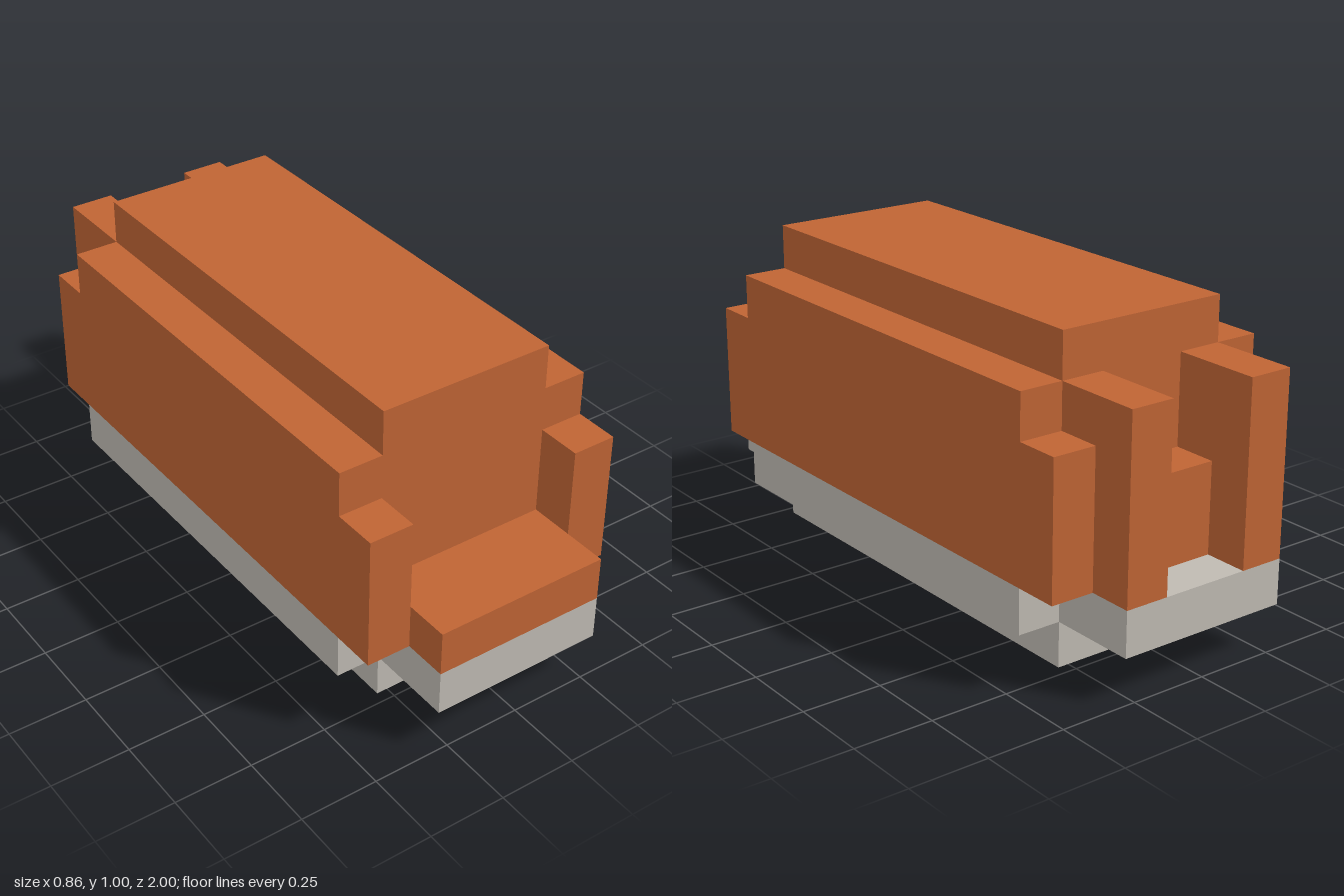
import * as THREE from 'three';

const U = 1 / 7; // one block

export function createModel() {
  const model = new THREE.Group();
  model.name = 'blockVehicle';

  const orange = new THREE.MeshStandardMaterial({ color: 0xbf6434 });
  orange.name = 'orange';
  const grey = new THREE.MeshStandardMaterial({ color: 0xbfbab2 });
  grey.name = 'lightGrey';

  const add = (name, geometry, material) => {
    const mesh = new THREE.Mesh(geometry, material);
    mesh.name = name;
    model.add(mesh);
  };

  // Box given by its limits in blocks
  const box = (name, material, [x0, x1], [y0, y1], [z0, z1]) => {
    const g = new THREE.BoxGeometry((x1 - x0) * U, (y1 - y0) * U, (z1 - z0) * U);
    g.translate(((x0 + x1) / 2) * U, ((y0 + y1) / 2) * U, ((z0 + z1) / 2) * U);
    add(name, g, material);
  };

  // Mirrored stepped section, ten blocks long
  const hull = (name, material, half) => {
    const left = half.map(([x, y]) => [-x, y]).reverse();
    const points = [...half, ...left].map(([x, y]) => new THREE.Vector2(x * U, y * U));
    const g = new THREE.ExtrudeGeometry(new THREE.Shape(points), { depth: 10 * U, bevelEnabled: false });
    g.translate(0, 0, -5 * U);
    add(name, g, material);
  };

  // Main body
  hull('lowerHull', grey, [[2, 0], [2, 1], [3, 1], [3, 2]]);
  hull('upperBody', orange, [[3, 2], [3, 6], [2, 6], [2, 7]]);

  // Front step and its base
  box('frontBase', grey, [-2, 2], [1, 2], [5, 7]);
  box('frontStep', orange, [-2, 2], [2, 3], [5, 7]);

  // Rear base and the low block between the rear posts
  box('rearBase', grey, [-2, 2], [1, 2], [-7, -5]);
  box('rearBlock', orange, [-1, 1], [2, 4], [-6, -5]);

  // Mirrored posts
  for (const [side, s] of [['left', 1], ['right', -1]]) {
    const span = (a, b) => (s > 0 ? [a, b] : [-b, -a]);
    box(side + 'RearPost', orange, span(1, 2), [2, 6], [-7, -5]);
    box(side + 'FrontCorner', orange, span(2, 3), [2, 5], [5, 6]);
    box(side + 'RearCorner', orange, span(2, 3), [2, 5], [-6, -5]);
  }

  return model;
}
